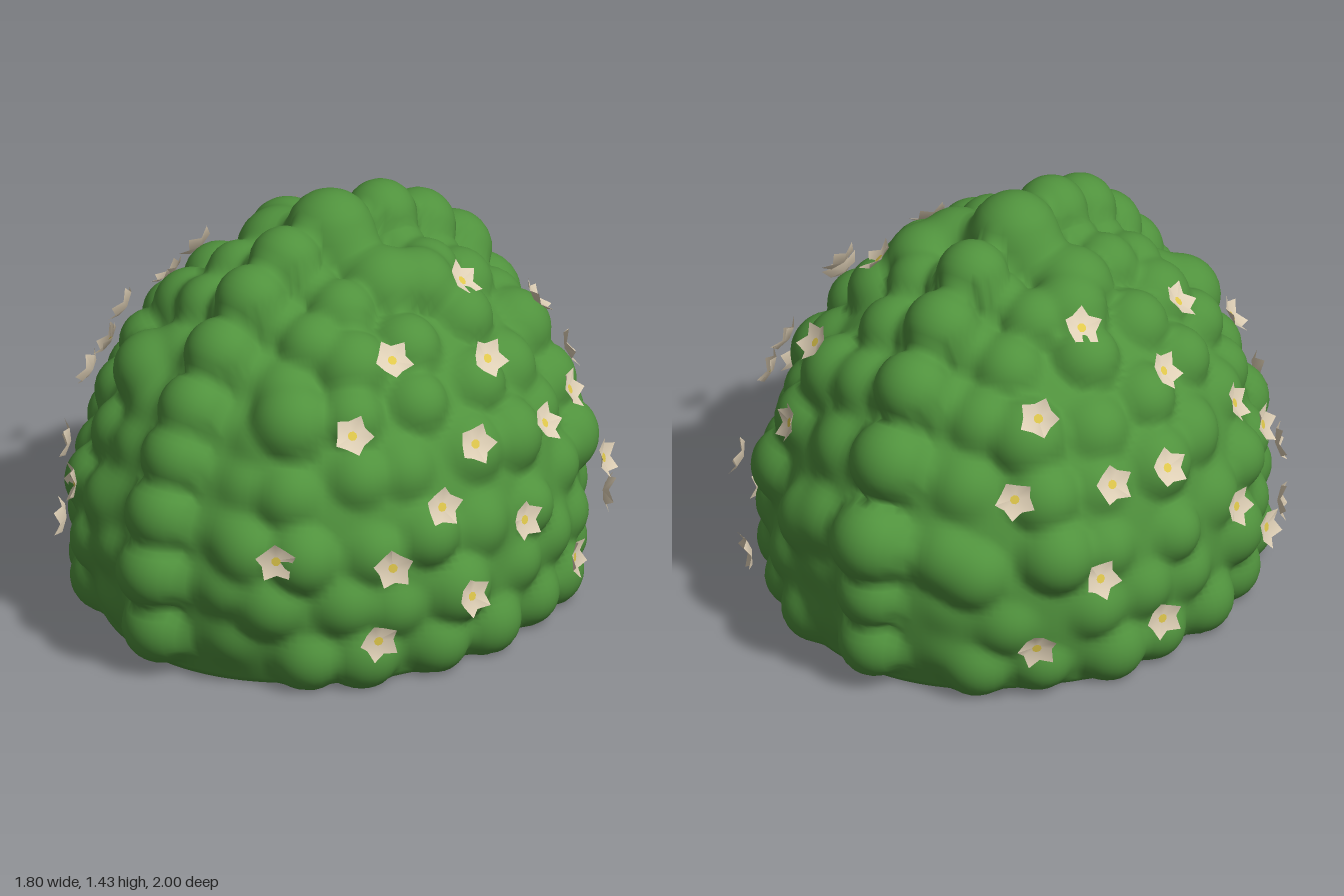
import * as THREE from 'three';
import { mergeVertices } from 'three/addons/utils/BufferGeometryUtils.js';

// Dome core: centre height and half sizes (upper height H, lower height LOW)
const CY = 0.3, A = 0.775, H = 0.93, LOW = 0.75, B = 0.875, FLOOR = 0.015;

let seed = 7;
const rand = () => (seed = (seed * 16807) % 2147483647) / 2147483647;

// Leaf clumps: balls stored relative to the core centre
function makeClumps() {
  const clumps = [];
  const add = (x, y, z, r) => clumps.push({ c: new THREE.Vector3(x, y - CY, z), r });

  // Crest of larger clumps over the middle: outermost z, y and radius
  const crest = [
    [0, 1.44, 0.15], [0.25, 1.385, 0.12], [0.44, 1.3, 0.12], [0.61, 1.15, 0.125], [0.76, 0.98, 0.125],
    [0.86, 0.82, 0.125], [0.95, 0.62, 0.13], [1.0, 0.4, 0.13], [0.97, 0.16, 0.13],
    [-0.28, 1.38, 0.12], [-0.49, 1.27, 0.125], [-0.69, 1.11, 0.13], [-0.85, 0.88, 0.14],
    [-0.99, 0.6, 0.14], [-0.97, 0.37, 0.12], [-0.96, 0.15, 0.12],
  ];
  for (const [z, y, r] of crest) {
    const out = new THREE.Vector3(0, y - 0.25, z);
    const reach = out.length() - r;
    out.setLength(reach);
    add(0, out.y + 0.25, out.z, r);
    // Shoulders widen the crest towards the dome
    out.setLength(reach - 0.1);
    for (const x of [-0.07, 0.07]) add(x, out.y + 0.25, out.z, r * 0.95);
    out.setLength(reach - 0.13);
    for (const x of [-0.22, 0.22]) add(x, out.y + 0.25, out.z, r * 0.95);
  }

  // Mirrored rows of smaller clumps around both sides
  [0.12, 0.32, 0.52, 0.72, 0.9, 1.05, 1.15].forEach((y, row) => {
    const k = Math.sqrt(1 - (Math.max(y - CY, 0) / H) ** 2);
    const n = Math.max(3, Math.round(2.5 * k / 0.23));
    for (let i = 0; i < n; i++) {
      const a = (i + 0.5 + (row % 2 ? 0.25 : -0.2) + (rand() - 0.5) * 0.4) / n * Math.PI;
      const r = 0.105 + rand() * 0.03, s = k * (row ? 0.89 + rand() * 0.06 : 0.9);
      const x = A * s * Math.sin(a), z = B * s * Math.cos(a);
      if (x < 0.28) continue;
      const yy = row ? y - 0.03 + (rand() - 0.5) * 0.07 : y;
      add(x, yy, z, r);
      add(-x, yy, z, r);
    }
  });
  return clumps;
}

// Distance from the core centre to the blended outer surface along a direction
function surface(d, clumps) {
  const rise = d.y / (d.y > 0 ? H : LOW);
  const hits = [1 / Math.sqrt((d.x / A) ** 2 + rise ** 2 + (d.z / B) ** 2)];
  for (const { c, r } of clumps) {
    const t = d.dot(c), q = r * r - c.lengthSq() + t * t;
    if (t > 0 && q > 0) hits.push(t + Math.sqrt(q));
  }
  const floor = d.y < 0 ? (CY - FLOOR) / -d.y : Infinity;
  const top = Math.max(...hits);
  const blend = top + Math.log(hits.reduce((s, h) => s + Math.exp((h - top) * 70), 0)) / 70;
  return Math.min(blend, floor);
}

function makeFoliage(clumps, material) {
  let geo = new THREE.SphereGeometry(1, 200, 130);
  geo.deleteAttribute('uv');
  geo.deleteAttribute('normal');
  geo = mergeVertices(geo, 1e-5);
  const p = geo.attributes.position, d = new THREE.Vector3();
  for (let i = 0; i < p.count; i++) {
    d.fromBufferAttribute(p, i).normalize();
    d.multiplyScalar(surface(d, clumps));
    p.setXYZ(i, d.x, d.y + CY, d.z);
  }
  geo.computeVertexNormals();
  const mesh = new THREE.Mesh(geo, material);
  mesh.name = 'foliage';
  return mesh;
}

// Cupped five-petal blossom facing +z
function petalGeometry() {
  const geo = new THREE.CircleGeometry(1, 10);
  const p = geo.attributes.position;
  for (let i = 1; i < p.count; i++) {
    const tip = i % 2 === 1, r = tip ? 0.07 : 0.05;
    p.setXYZ(i, p.getX(i) * r, p.getY(i) * r, tip ? 0.032 : 0.012);
  }
  geo.computeVertexNormals();
  return geo;
}

export function createModel() {
  const model = new THREE.Group();
  model.name = 'floweringBush';
  const leafGreen = new THREE.MeshStandardMaterial({ color: 0x50923d });
  leafGreen.name = 'leafGreen';
  const petalCream = new THREE.MeshStandardMaterial({ color: 0xdfd0b6, side: THREE.DoubleSide });
  petalCream.name = 'petalCream';
  const pollenYellow = new THREE.MeshStandardMaterial({ color: 0xe0c84c });
  pollenYellow.name = 'pollenYellow';

  // The plane of symmetry is turned slightly about the vertical
  const TURN = 0.05, Y = new THREE.Vector3(0, 1, 0);
  const bush = new THREE.Group();
  bush.name = 'bush';
  bush.rotation.y = TURN;
  model.add(bush);

  const clumps = makeClumps();
  bush.add(makeFoliage(clumps, leafGreen));

  // Blossoms on the left side, mirrored to the right
  const spots = [
    [0.5, 1.08, 0.22], [0.38, 1.16, -0.22], [0.63, 1.02, -0.1], [0.56, 0.91, 0.47], [0.78, 0.83, 0.11],
    [0.74, 0.76, -0.26], [0.65, 0.78, -0.47], [0.4, 0.98, -0.53], [0.41, 0.77, -0.7], [0.79, 0.66, 0.28],
    [0.48, 0.52, 0.75], [0.74, 0.48, 0.46], [0.87, 0.53, -0.03], [0.68, 0.49, -0.6], [0.85, 0.32, 0.2],
    [0.72, 0.22, 0.51], [0.78, 0.24, -0.36], [0.53, 0.26, -0.76],
  ];
  const petals = petalGeometry();
  const eye = new THREE.CircleGeometry(0.016, 8);
  spots.forEach((spot, i) => {
    const local = new THREE.Vector3(...spot).applyAxisAngle(Y, -TURN);
    for (const side of [1, -1]) {
      const d = new THREE.Vector3(local.x * side, local.y - CY, local.z);
      const dist = d.length();
      d.normalize();
      const normal = new THREE.Vector3(d.x / A ** 2, Math.max(d.y, 0) / H ** 2, d.z / B ** 2).normalize();
      d.multiplyScalar(Math.max(dist - 0.015, surface(d, clumps) + 0.006));

      const flower = new THREE.Group();
      flower.name = side > 0 ? 'leftFlower' : 'rightFlower';
      const petalMesh = new THREE.Mesh(petals, petalCream);
      petalMesh.name = 'petals';
      const eyeMesh = new THREE.Mesh(eye, pollenYellow);
      eyeMesh.name = 'flowerCentre';
      eyeMesh.position.z = 0.009;
      flower.add(petalMesh, eyeMesh);
      flower.position.set(d.x, d.y + CY, d.z);
      flower.quaternion.setFromUnitVectors(new THREE.Vector3(0, 0, 1), normal);
      flower.rotateZ(i * 1.3 * side);
      flower.rotateX(0.2 * Math.sin(i * 2.1));
      bush.add(flower);
    }
  });
  return model;
}
